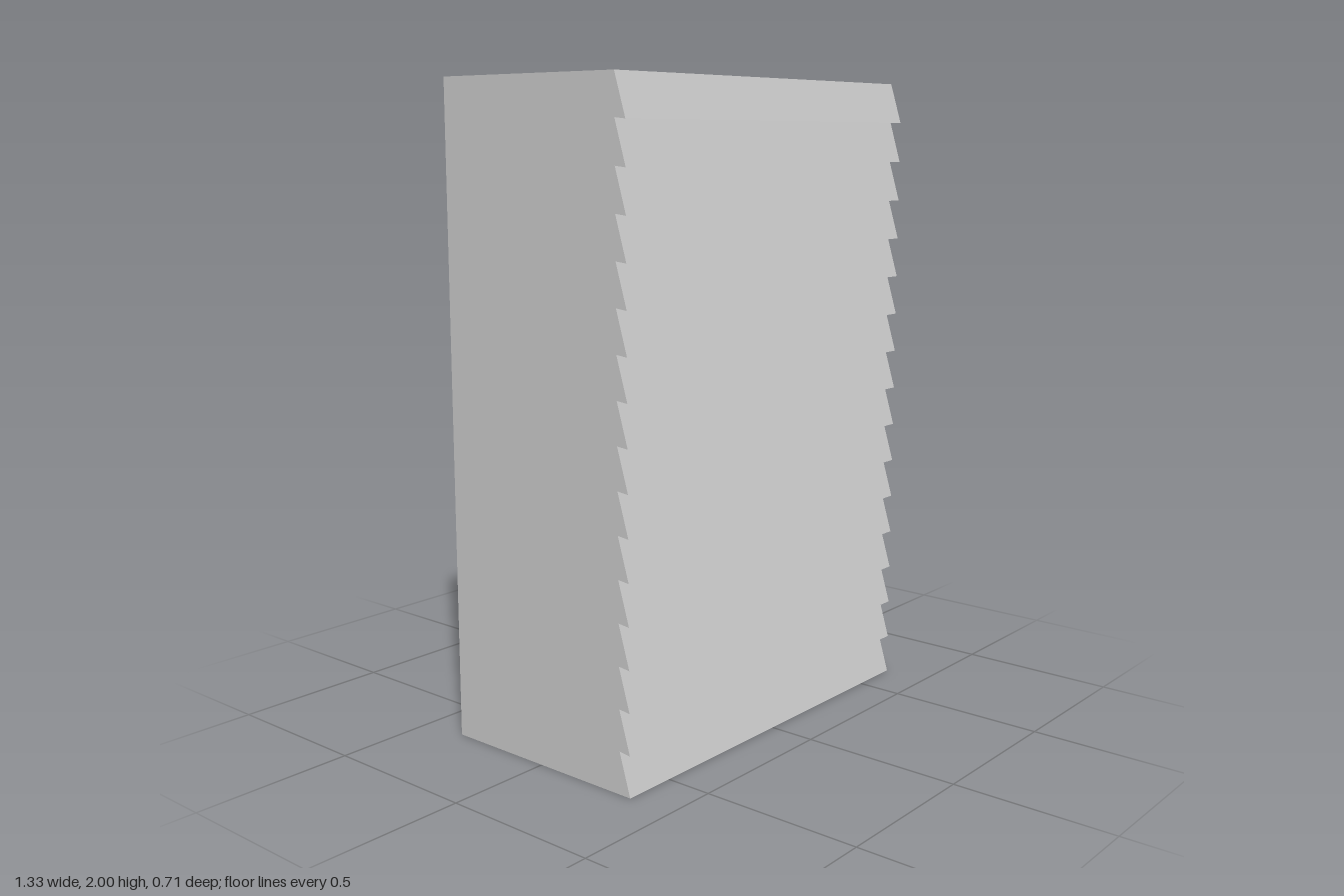
import * as THREE from 'three';

const W = 1.332, H = 2, BACK = -0.353, OUT = 0.353, IN = 0.314;
const ROWS = 16, PITCH = H / ROWS, LIP = 0.004;

export function createModel() {
  const group = new THREE.Group();
  const material = new THREE.MeshStandardMaterial({ color: 0xcccccc, side: THREE.DoubleSide, flatShading: true });

  const add = (name, geometry) => {
    const mesh = new THREE.Mesh(geometry, material);
    mesh.name = name;
    group.add(mesh);
    return mesh;
  };

  // Flat strip across the full width, between two (z, y) points
  const strip = (name, [z0, y0], [z1, y1]) => {
    const dz = z1 - z0, dy = y1 - y0;
    const geometry = new THREE.PlaneGeometry(W, Math.hypot(dz, dy));
    geometry.rotateX(Math.atan2(dz, dy));
    geometry.translate(0, (y0 + y1) / 2, (z0 + z1) / 2);
    return add(name, geometry);
  };

  // Sawtooth front profile in (z, y): each board leans back towards its top
  const profile = [];
  for (let i = 0; i < ROWS; i++) {
    const top = (i + 1) * PITCH;
    profile.push([OUT, i * PITCH], [IN, i === ROWS - 1 ? H : top + LIP]);
  }

  // Overlapping boards and the narrow ledges under them
  for (let i = 0; i < profile.length - 1; i++) {
    strip(i % 2 ? 'boardLedge' : 'sidingBoard', profile[i], profile[i + 1]);
  }

  // Top and bottom panels; the back stays open
  strip('topPanel', [IN, H], [BACK, H]);
  strip('bottomPanel', [BACK, 0], [OUT, 0]);

  // Side panels follow the sawtooth edge
  const outline = [[BACK, 0], ...profile, [BACK, H]].map(([z, y]) => new THREE.Vector2(z, y));
  for (const side of [-1, 1]) {
    const geometry = new THREE.ShapeGeometry(new THREE.Shape(outline));
    geometry.rotateY(-Math.PI / 2);
    geometry.translate(side * W / 2, 0, 0);
    add(side > 0 ? 'leftPanel' : 'rightPanel', geometry);
  }

  return group;
}
